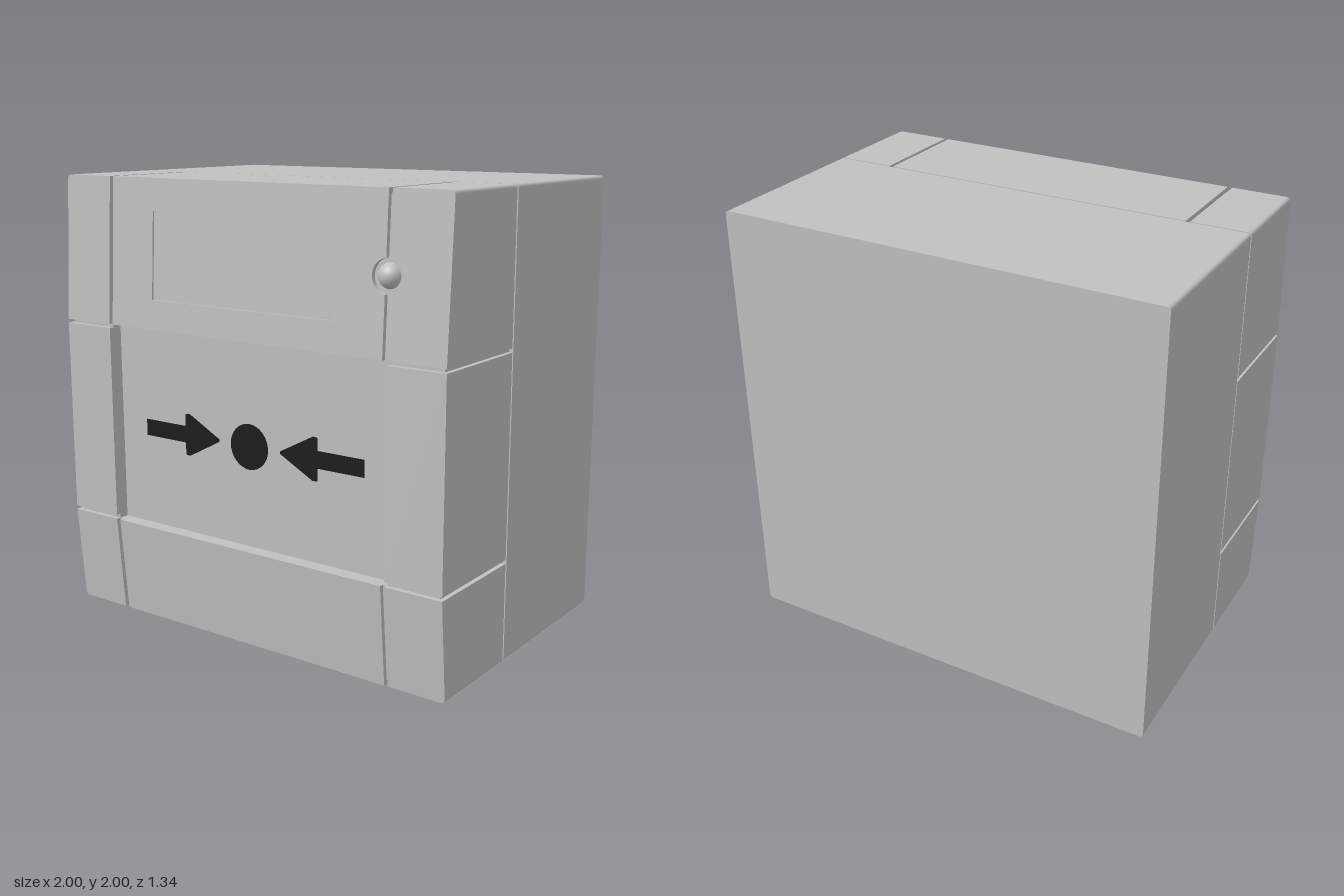
import * as THREE from 'three';

export function createModel() {
  const group = new THREE.Group();
  const grey = new THREE.MeshStandardMaterial({ color: 0xc0c0c0 });
  grey.name = 'casing grey';
  const black = new THREE.MeshStandardMaterial({ color: 0x1c1c1c });
  black.name = 'marking black';

  const add = (name, geometry, material = grey) => {
    const mesh = new THREE.Mesh(geometry, material);
    mesh.name = name;
    group.add(mesh);
    return mesh;
  };

  // Front face of the casing: flat in the middle, leaning back above and below
  const TOP = 1.35, LOW = 0.44, SEAM = 0.152;
  const frontZ = (y) => {
    if (y > TOP) return 0.667 - 0.037 * (y - TOP) / (2 - TOP);
    if (y < LOW) return 0.667 - 0.037 * (LOW - y) / LOW;
    return 0.667;
  };

  // Rectangle whose corners on the outer silhouette are rounded
  const R = 0.02;
  const rect = (x0, y0, x1, y1) => {
    const s = new THREE.Shape();
    const corner = (x, y, ax, ay, bx, by) => {
      const outer = Math.abs(x) === 1 && (y === 0 || y === 2);
      const r = outer ? R : 0;
      const first = s.curves.length === 0 && s.currentPoint.lengthSq() === 0;
      if (first) s.moveTo(x + ax * r, y + ay * r);
      else s.lineTo(x + ax * r, y + ay * r);
      if (r) s.quadraticCurveTo(x, y, x + bx * r, y + by * r);
    };
    corner(x0, y0, 0, 1, 1, 0);
    corner(x1, y0, -1, 0, 0, 1);
    corner(x1, y1, 0, -1, -1, 0);
    corner(x0, y1, 1, 0, 0, -1);
    s.closePath();
    return s;
  };

  const slab = (shape, z0, z1) => {
    const g = new THREE.ExtrudeGeometry(shape, { depth: z1 - z0, bevelEnabled: false, curveSegments: 16 });
    return g.translate(0, 0, z0);
  };

  // Block from the seam to the leaning front, set back by an inset
  const block = (shape, inset = 0) => {
    const g = slab(shape, 0, 1);
    const p = g.attributes.position;
    for (let i = 0; i < p.count; i++) {
      p.setZ(i, p.getZ(i) > 0.5 ? frontZ(p.getY(i)) - inset : SEAM);
    }
    g.computeVertexNormals();
    return g;
  };

  // Back box and the cores that form the groove floors
  add('backBox', slab(rect(-1, 0, 1, 2), -0.667, 0.143));
  add('recessedPanel', slab(rect(-0.98, 0.02, 0.98, 1.98), 0.1, 0.6));
  add('upperCore', block(rect(-0.98, TOP, 0.98, 1.98), 0.02));
  add('lowerCore', block(rect(-0.98, 0.02, 0.98, LOW), 0.02));
  add('leftCore', block(rect(0.733, LOW, 0.98, TOP), 0.022));
  add('rightCore', block(rect(-0.98, LOW, -0.737, TOP), 0.022));

  // Blocks round the panel, separated by grooves
  add('lowerRightCorner', block(rect(-1, 0, -0.738, LOW)));
  add('lowerBlock', block(rect(-0.717, 0, 0.715, LOW)));
  add('lowerLeftCorner', block(rect(0.733, 0, 1, LOW)));
  add('rightBlock', block(rect(-1, 0.458, -0.737, 1.333)));
  add('leftBlock', block(rect(0.733, 0.458, 1, 1.333)));
  add('upperRightCorner', block(rect(-1, TOP, -0.738, 2)));

  // Upper left corner and upper block, notched round the lamp
  const lamp = { x: 0.724, y: 1.67, r: 0.07 };
  const a = Math.acos(0.009 / lamp.r);
  const cornerShape = new THREE.Shape();
  cornerShape.moveTo(0.733, TOP);
  cornerShape.lineTo(1, TOP);
  cornerShape.lineTo(1, 2 - R);
  cornerShape.quadraticCurveTo(1, 2, 1 - R, 2);
  cornerShape.lineTo(0.733, 2);
  cornerShape.absarc(lamp.x, lamp.y, lamp.r, a, -a, true);
  cornerShape.closePath();
  add('upperLeftCorner', block(cornerShape));

  const upperShape = new THREE.Shape();
  upperShape.moveTo(-0.717, TOP);
  upperShape.lineTo(0.715, TOP);
  upperShape.absarc(lamp.x, lamp.y, lamp.r, a - Math.PI, Math.PI - a, true);
  upperShape.lineTo(0.715, 2);
  upperShape.lineTo(-0.717, 2);
  upperShape.closePath();
  const label = rect(-0.48, 1.48, 0.475, 1.86);
  upperShape.holes.push(new THREE.Path(label.getPoints()));
  add('upperBlock', block(upperShape));
  add('labelRecess', block(label, 0.008));

  // Lamp dome in its round recess
  const dome = add('lamp', new THREE.SphereGeometry(0.052, 32, 20));
  dome.position.set(lamp.x - 0.002, lamp.y, 0.617);

  // Printed dot and the two arrows pointing at it
  const markBack = 0.599, markFront = 0.604;
  const dot = new THREE.Shape();
  dot.absarc(0.003, 0.885, 0.1, 0, Math.PI * 2, false);
  add('centreDot', slab(dot, markBack, markFront), black);
  const arrowPoints = [
    [0.59, -0.037], [0.59, 0.037], [0.358, 0.037], [0.358, 0.092],
    [0.335, 0.094], [0.168, 0.006], [0.168, -0.006], [0.335, -0.094], [0.358, -0.092], [0.358, -0.037],
  ];
  for (const side of [-1, 1]) {
    const arrow = new THREE.Shape(arrowPoints.map(([x, y]) => new THREE.Vector2(side * x + 0.003, 0.887 + y)));
    add(side > 0 ? 'leftArrow' : 'rightArrow', slab(arrow, markBack, markFront), black);
  }
  return group;
}
